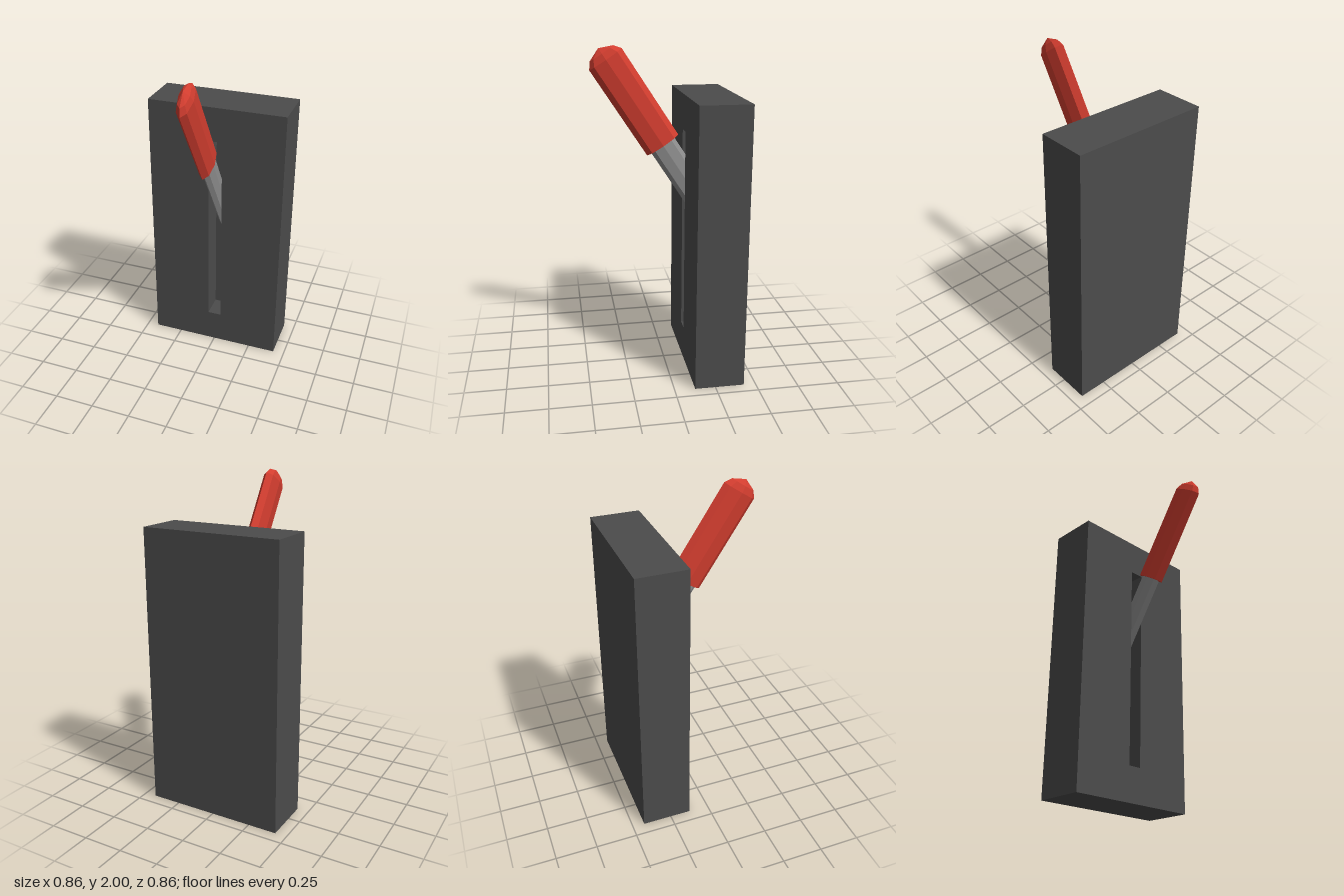
import * as THREE from 'three';

export function createModel() {
  const model = new THREE.Group();
  const material = (name, color) =>
    new THREE.MeshStandardMaterial({ name, color, flatShading: true });
  const charcoal = material('charcoal', 0x4c4c4c);
  const red = material('red', 0xd23d2f);
  const steel = material('steel', 0x8e8e8e);

  const add = (parent, name, geometry, mat) => {
    const mesh = new THREE.Mesh(geometry, mat);
    mesh.name = name;
    parent.add(mesh);
    return mesh;
  };
  const rectangle = (target, halfWidth, bottom, top) => {
    target.moveTo(-halfWidth, bottom);
    target.lineTo(halfWidth, bottom);
    target.lineTo(halfWidth, top);
    target.lineTo(-halfWidth, top);
    target.closePath();
    return target;
  };

  // Housing: a slotted front half over a solid back half
  const height = 1.713, backZ = -0.427, floorZ = -0.275, frontZ = -0.125;
  const housing = new THREE.Group();
  housing.name = 'housing';
  model.add(housing);
  const face = rectangle(new THREE.Shape(), 0.428, 0, height);
  face.holes.push(rectangle(new THREE.Path(), 0.043, 0.215, height - 0.215));
  add(housing, 'slottedFront', new THREE.ExtrudeGeometry(face, {
    depth: frontZ - floorZ, bevelEnabled: false,
  }), charcoal).position.z = floorZ;
  add(housing, 'housingBack', new THREE.BoxGeometry(0.856, height, floorZ - backZ), charcoal)
    .position.set(0, height / 2, (floorZ + backZ) / 2);

  // Lever: flattened eight-sided bars, origin at the lower end of the grip
  const lever = new THREE.Group();
  lever.name = 'lever';
  lever.position.set(0, 1.415, 0.005);
  lever.rotation.x = THREE.MathUtils.degToRad(33);
  model.add(lever);
  const bar = (profile) => new THREE.LatheGeometry(
    profile.map(([r, y]) => new THREE.Vector2(r, y)), 8).scale(0.384, 1, 1);

  // Grip with a faceted dome end
  add(lever, 'grip', bar([[0, 0], [0.112, 0], [0.112, 0.605], [0.081, 0.645], [0, 0.679]]), red);
  // Shaft running through the slot floor
  add(lever, 'shaft', bar([[0, -0.65], [0.083, -0.65], [0.083, 0.02], [0, 0.02]]), steel);

  return model;
}
